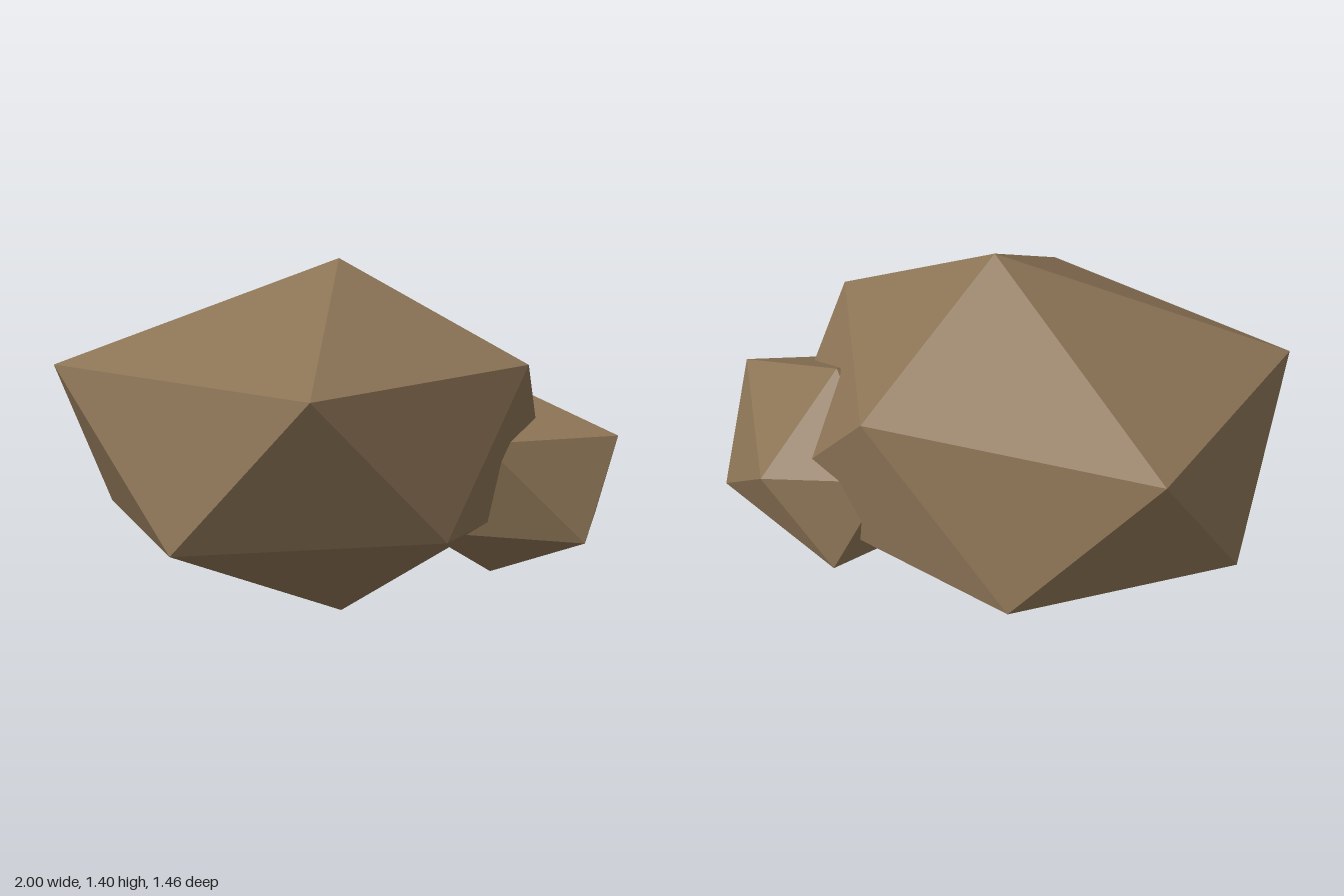
import * as THREE from 'three';

// Irregular twenty-sided stone: a top point, two staggered rings of five, a bottom point
function stone(name, top, upper, lower, bottom, material) {
  const positions = [];
  const face = (...corners) => corners.forEach((c) => positions.push(...c));
  for (let i = 0; i < 5; i++) {
    const j = (i + 1) % 5;
    face(top, upper[i], upper[j]);
    face(upper[i], lower[i], upper[j]);
    face(lower[i], lower[j], upper[j]);
    face(bottom, lower[j], lower[i]);
  }
  const geometry = new THREE.BufferGeometry();
  geometry.setAttribute('position', new THREE.Float32BufferAttribute(positions, 3));
  geometry.computeVertexNormals();
  const mesh = new THREE.Mesh(geometry, material);
  mesh.name = name;
  return mesh;
}

export function createModel() {
  const group = new THREE.Group();
  group.name = 'rocks';
  const brown = new THREE.MeshStandardMaterial({ color: 0x8b7355, flatShading: true });
  brown.name = 'stone brown';

  // Main boulder
  group.add(stone(
    'largeRock',
    [-0.03, 1.4, -0.06],
    [[0.7, 1.05, 0.06], [0.14, 1.0, -0.66], [-0.88, 1.05, -0.55], [-0.96, 1.03, 0.42], [0.12, 1.0, 0.73]],
    [[0.7, 0.44, -0.55], [-0.43, 0.455, -0.7], [-1.0, 0.4, -0.04], [-0.38, 0.45, 0.72], [0.48, 0.46, 0.33]],
    [-0.04, 0, -0.12],
    brown,
  ));

  // Smaller rock set into the back left side
  group.add(stone(
    'smallRock',
    [0.45, 0.96, -0.36],
    [[1.0, 0.76, -0.22], [0.54, 0.68, -0.73], [0.13, 0.7, -0.56], [0.15, 0.74, -0.08], [0.55, 0.76, 0.07]],
    [[0.91, 0.385, -0.53], [0.28, 0.35, -0.7], [0.1, 0.36, -0.34], [0.4, 0.4, 0.02], [0.91, 0.38, -0.07]],
    [0.52, 0.15, -0.335],
    brown,
  ));

  return group;
}
